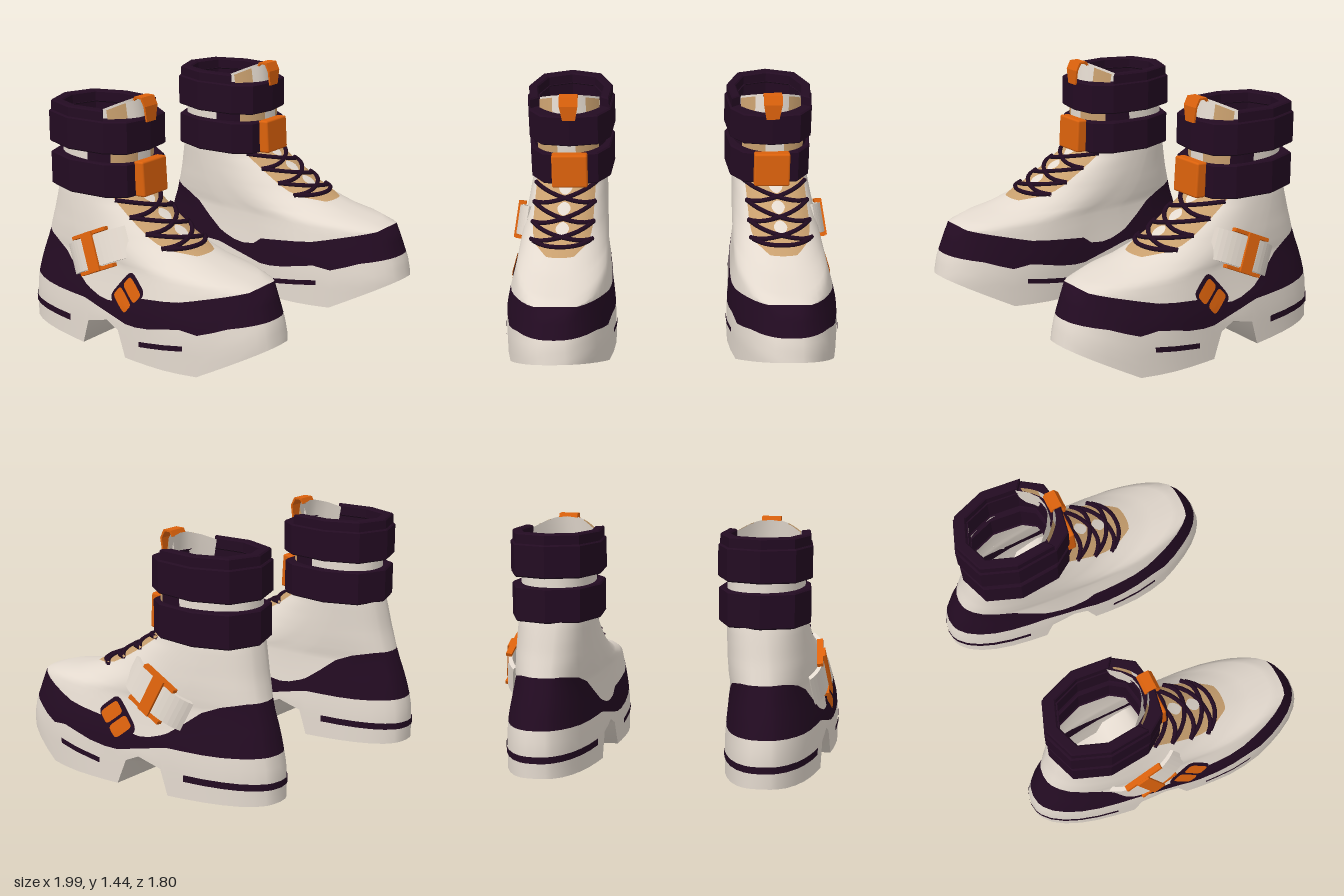
import * as THREE from 'three';
import { mergeVertices } from 'three/addons/utils/BufferGeometryUtils.js';
import { RoundedBoxGeometry } from 'three/addons/geometries/RoundedBoxGeometry.js';

const mat = (name, color) => new THREE.MeshStandardMaterial({ name, color, side: THREE.DoubleSide });
const cream = mat('cream leather', 0xe4dacf);
const plum = mat('dark plum', 0x230b22);
const orange = mat('orange', 0xdc620c);
const tan = mat('tan fabric', 0xc89f6e);

// piecewise linear lookup
function at(table, x) {
  if (x <= table[0][0]) return table[0][1];
  for (let i = 1; i < table.length; i++) {
    const [x0, y0] = table[i - 1], [x1, y1] = table[i];
    if (x <= x1) return y0 + (y1 - y0) * (x - x0) / (x1 - x0);
  }
  return table[table.length - 1][1];
}

// boot outline by height: toe z, heel z, half width, centre x
const TOE = [[0, .89], [.2, .9], [.3, .88], [.5, .81], [.535, .7], [.56, .55], [.61, .38], [.66, .25], [.72, .15], [.78, .05], [.88, -.1]];
const HEEL = [[0, -.89], [.2, -.89], [.3, -.87], [.4, -.845], [.55, -.79], [.7, -.745], [.87, -.705], [.93, -.68], [1.4, -.67]];
const WIDTH = [[0, .328], [.2, .328], [.3, .32], [.4, .302], [.5, .28], [.6, .262], [.75, .237], [.88, .222], [.95, .215]];
const CENTRE = [[0, .655], [.3, .655], [.5, .645], [.8, .62], [.95, .605]];
// plan narrowing of the foot at waist and heel, u = -1 heel to 1 toe
const WAIST = [[-1, .9], [-.45, .885], [-.08, .9], [.15, .98], [.4, 1.05], [1, 1.05]];
// heights along the boot
const BOTTOM = [[-1, .02], [-.95, .015], [-.36, 0], [-.31, .15], [-.14, .19], [-.04, .15], [.03, 0], [.6, .01], [1, .2]];
const BAND_LOW = [[-1, .29], [-.7, .28], [-.35, .28], [-.06, .22], [.06, .2], [.23, .22], [.46, .27], [.62, .25], [.7, .28], [.8, .31], [1, .34]];
const BAND_HIGH = [[-1, .575], [-.9, .575], [-.68, .54], [-.54, .46], [-.36, .36], [-.25, .32], [-.06, .3], [0, .36], [.22, .385], [.47, .41], [.72, .46], [1, .51]];
const U = [-1, -.99, -.97, -.92, -.84, -.74, -.62, -.48, -.36, -.31, -.22, -.14, -.04, .03, .12, .24, .36, .48, .6, .7, .8, .88, .94, .975, .992, 1];
const N = 2.3;
const round = (u) => Math.pow(Math.max(0, 1 - Math.pow(Math.abs(u), N)), 1 / N);

// point on the boot surface; s = 1 outer side, -1 inner side
function surf(u, s, y, off = 0) {
  const f = at(TOE, y), b = at(HEEL, y);
  const foot = THREE.MathUtils.clamp((.75 - y) / .35, 0, 1);
  const w = at(WIDTH, y) * THREE.MathUtils.lerp(1 + .05 * u, at(WAIST, u), foot);
  return [at(CENTRE, y) + .02 * u + s * round(u) * (w + off), y, (f + b) / 2 + ((f - b) / 2 + off) * u];
}
function outer(z, y, off) {
  const f = at(TOE, y), b = at(HEEL, y);
  return surf((z - (f + b) / 2) / ((f - b) / 2), 1, y, off);
}
function instep(x, y, off) {
  const f = at(TOE, y), b = at(HEEL, y);
  const u = round(x / (at(WIDTH, y) * 1.05));
  return [at(CENTRE, y) + .02 + x, y + off * .7, (f + b) / 2 + (f - b) / 2 * u + off * .8];
}

// sheet of quads from a point rule
function sheet(rows, cols, rule) {
  const pos = [], idx = [];
  for (let i = 0; i < rows; i++) for (let j = 0; j < cols; j++) {
    pos.push(...rule(i, j));
    if (i && j) {
      const d = i * cols + j, c = d - 1, b = d - cols, a = b - 1;
      idx.push(a, b, d, a, d, c);
    }
  }
  let g = new THREE.BufferGeometry();
  g.setAttribute('position', new THREE.Float32BufferAttribute(pos, 3));
  g.setIndex(idx);
  g = mergeVertices(g, 1e-5);
  g.computeVertexNormals();
  return g;
}
const side = (u0, u1, s) => [u0, ...U.filter((u) => u > u0 && u < u1), u1].map((u) => [u, s]);
const aroundToe = (u0) => [...side(u0, 1, 1), ...side(u0, 1, -1).reverse()];
const aroundHeel = (u1) => [...side(-1, u1, 1).reverse(), ...side(-1, u1, -1)];
// strip of the boot surface following a path, between two heights
const strip = (path, low, high, rows, off = 0) => sheet(rows, path.length, (i, j) => {
  const [u, s] = path[j], t = i / (rows - 1);
  return surf(u, s, low(u) * (1 - t) + high(u) * t, off);
});
// rounded patch placed by a point rule
const patch = (a, b, angle, power, place) => sheet(3, 25, (i, j) => {
  const t = j / 24 * Math.PI * 2, c = Math.cos(t), s = Math.sin(t);
  const p = a * Math.sign(c) * Math.abs(c) ** power * i / 2, q = b * Math.sign(s) * Math.abs(s) ** power * i / 2;
  return place(p * Math.cos(angle) - q * Math.sin(angle), p * Math.sin(angle) + q * Math.cos(angle));
});

// faceted ankle band, closed or open at the front
const HALF = [[0, -.73], [.19, -.66], [.268, -.45], [.245, -.2], [.17, -.09], [0, -.06]];
function ankleBand(y0, y1, scale, open) {
  const outline = (k) => {
    const h = (open ? HALF.slice(0, 4) : HALF).map(([x, z]) => [x * k, .4 - (z + .4) * k]);
    const mirrored = h.slice(1, open ? 4 : 5).map(([x, z]) => [-x, z]);
    const pts = open ? [...mirrored.reverse(), ...h] : [...h, ...mirrored.reverse()];
    return pts.map(([x, z]) => new THREE.Vector2(x + .605, z));
  };
  const shape = new THREE.Shape(open ? [...outline(scale), ...outline(.75).reverse()] : outline(scale));
  if (!open) shape.holes.push(new THREE.Path(outline(.75)));
  const bevel = .008;
  const g = new THREE.ExtrudeGeometry(shape, { depth: y1 - y0 - bevel * 2, bevelSize: bevel, bevelThickness: bevel, bevelOffset: -bevel, bevelSegments: 1 });
  return g.rotateX(-Math.PI / 2).translate(0, y0 + bevel, 0);
}

function sideBuckle(add) {
  const lean = new THREE.Group(), buckle = new THREE.Group();
  lean.name = 'sideBuckle';
  lean.position.set(.915, .575, -.22);
  lean.rotation.z = .17;
  buckle.rotation.set(0, Math.PI / 2, -.43);
  lean.add(buckle);
  // arched strap
  const arch = new THREE.Shape();
  arch.moveTo(-.235, -.025);
  arch.quadraticCurveTo(-.15, .035, 0, .03);
  arch.quadraticCurveTo(.16, .03, .23, -.05);
  arch.lineTo(.2, -.06);
  arch.quadraticCurveTo(.13, .01, 0, .01);
  arch.quadraticCurveTo(-.13, .01, -.22, -.04);
  const strap = new THREE.ExtrudeGeometry(arch, { depth: .18, bevelEnabled: false, curveSegments: 8 });
  add('buckleStrap', strap.translate(0, 0, -.09).rotateX(Math.PI / 2), cream, buckle);
  add('buckleBar', new THREE.BoxGeometry(.08, .23, .025).translate(.01, 0, .03), orange, buckle);
  for (const s of [-1, 1]) add('buckleRail', new THREE.BoxGeometry(.25, .02, .035).translate(0, s * .106, .012), orange, buckle);
  return lean;
}

function makeBoot() {
  const boot = new THREE.Group();
  const add = (name, geometry, material, parent = boot) => {
    const m = new THREE.Mesh(geometry, material);
    m.name = name;
    parent.add(m);
  };
  const low = (u) => at(BAND_LOW, u), high = (u) => at(BAND_HIGH, u), bottom = (u) => at(BOTTOM, u);
  const ring = aroundToe(-1);

  // sole, rand and upper share one surface
  add('soleWall', strip(ring, bottom, low, 5), cream);
  add('rand', strip(ring, low, high, 5), plum);
  const levels = [0, .35, .4, .45, .5, .52, .535, .56, .585, .61, .635, .66, .69, .72, .75, .78, .83, .88, .95, 1.25];
  add('upper', sheet(levels.length, ring.length, (i, j) => surf(...ring[j], Math.max(levels[i], high(ring[j][0])))), cream);
  add('outsole', sheet(U.length, 3, (i, j) => {
    const u = U[i], y = bottom(u);
    if (j !== 1) return surf(u, j - 1, y);
    const p = surf(u, 0, y);
    return [p[0], u > .1 ? y : Math.min(y, .06), p[2]];
  }), cream);

  // sole stripes
  add('heelStripe', strip(aroundHeel(-.48), () => .107, () => .146, 2, .006), plum);
  for (const s of [-1, 1]) {
    const y = (u) => .115 + (u - .16) * .14;
    add('toeStripe', strip(side(.16, .5, s), (u) => y(u) - .014, (u) => y(u) + .017, 2, .006), plum);
  }

  // side pads
  const pad = (z, y, a, b, off) => patch(a, b, 2.44, .4, (p, q) => outer(z + p, y + q, off));
  add('padBase', pad(.035, .375, .085, .12, .006), plum);
  add('pad', pad(.074, .414, .066, .041, .013), orange);
  add('pad', pad(.006, .342, .066, .041, .013), orange);
  boot.add(sideBuckle(add));

  // tongue and laces
  const rows = [.61, .617, .635, .66, .69, .72, .75, .78, .83, .88];
  const half = [[.61, .08], [.635, .155], [.67, .18]];
  add('tongue', sheet(rows.length, 17, (i, j) => instep(at(half, rows[i]) * (j / 8 - 1), rows[i], .008)), tan);
  const holes = [.64, .7, .775, .855];
  const lace = (x0, y0, x1, y1) => {
    const pts = [];
    for (let i = 0; i <= 8; i++) pts.push(new THREE.Vector3(...instep(x0 + (x1 - x0) * i / 8, y0 + (y1 - y0) * i / 8, .016)));
    add('lace', new THREE.TubeGeometry(new THREE.CatmullRomCurve3(pts), 12, .014, 5), plum);
  };
  lace(-.17, .64, .17, .64);
  holes.slice(1).forEach((y, k) => {
    for (const s of [-1, 1]) lace(-s * .185, holes[k], s * .185, y);
    add('tonguePatch', patch(.04, .026, 0, 1.2, (p, q) => instep(p, y + q, .013)), cream);
  });

  // ankle: gap fabrics, two straps and collar
  add('gapTongue', strip(aroundToe(.67), () => 1.05, () => 1.16, 2, .008), tan);
  add('gapTongueMiddle', strip(aroundToe(.985), () => 1.05, () => 1.16, 2, .013), cream);
  for (const s of [-1, 1]) add('gapTrim', strip(side(.17, .67, s), () => 1.05, () => 1.16, 2, .008), plum);
  add('lowerStrap', ankleBand(.875, 1.075, .98), plum);
  add('upperStrap', ankleBand(1.13, 1.32, 1), plum);
  add('collar', ankleBand(1.3, 1.38, .96, true), plum);
  add('frontClasp', new RoundedBoxGeometry(.215, .205, .07, 2, .012).rotateX(-.06).translate(.608, .98, -.058), orange);

  // tongue top, with tan wings around a cream middle
  const tongueTop = (x0, x1, back) => sheet(4, 7, (i, j) => {
    const x = x0 + (x1 - x0) * j / 6, k = (x / .18) ** 2;
    const top = 1.425 - .055 * k;
    return [.605 + x, 1.2 + (top - 1.2) * i / 3, -.09 - .11 * k - back - .01 * i];
  });
  add('tongueLining', tongueTop(-.18, .18, .035), cream);
  add('tongueMiddle', tongueTop(-.1, .1, 0), cream);
  for (const s of [-1, 1]) add('tongueWing', tongueTop(s * .1, s * .18, 0), tan);
  // folded pull tab, narrower at its foot
  const tab = new THREE.Shape([[.05, 1.3], [.05, 1.39], [.075, 1.44], [.13, 1.44], [.145, 1.41], [.135, 1.405], [.12, 1.43], [.085, 1.43], [.062, 1.39], [.062, 1.3]]
    .map(([x, y]) => new THREE.Vector2(x, y)));
  const tabGeo = new THREE.ExtrudeGeometry(tab, { depth: .11, bevelEnabled: false }).translate(0, 0, -.055).rotateY(Math.PI / 2);
  const p = tabGeo.attributes.position;
  for (let i = 0; i < p.count; i++) p.setX(i, p.getX(i) * (p.getY(i) < 1.35 ? .7 : 1) + .605);
  add('pullTab', tabGeo, orange);
  return boot;
}

export function createModel() {
  const model = new THREE.Group();
  model.name = 'boots';
  const left = makeBoot(), right = makeBoot();
  left.name = 'leftBoot';
  right.name = 'rightBoot';
  right.scale.x = -1;
  model.add(left, right);
  return model;
}
